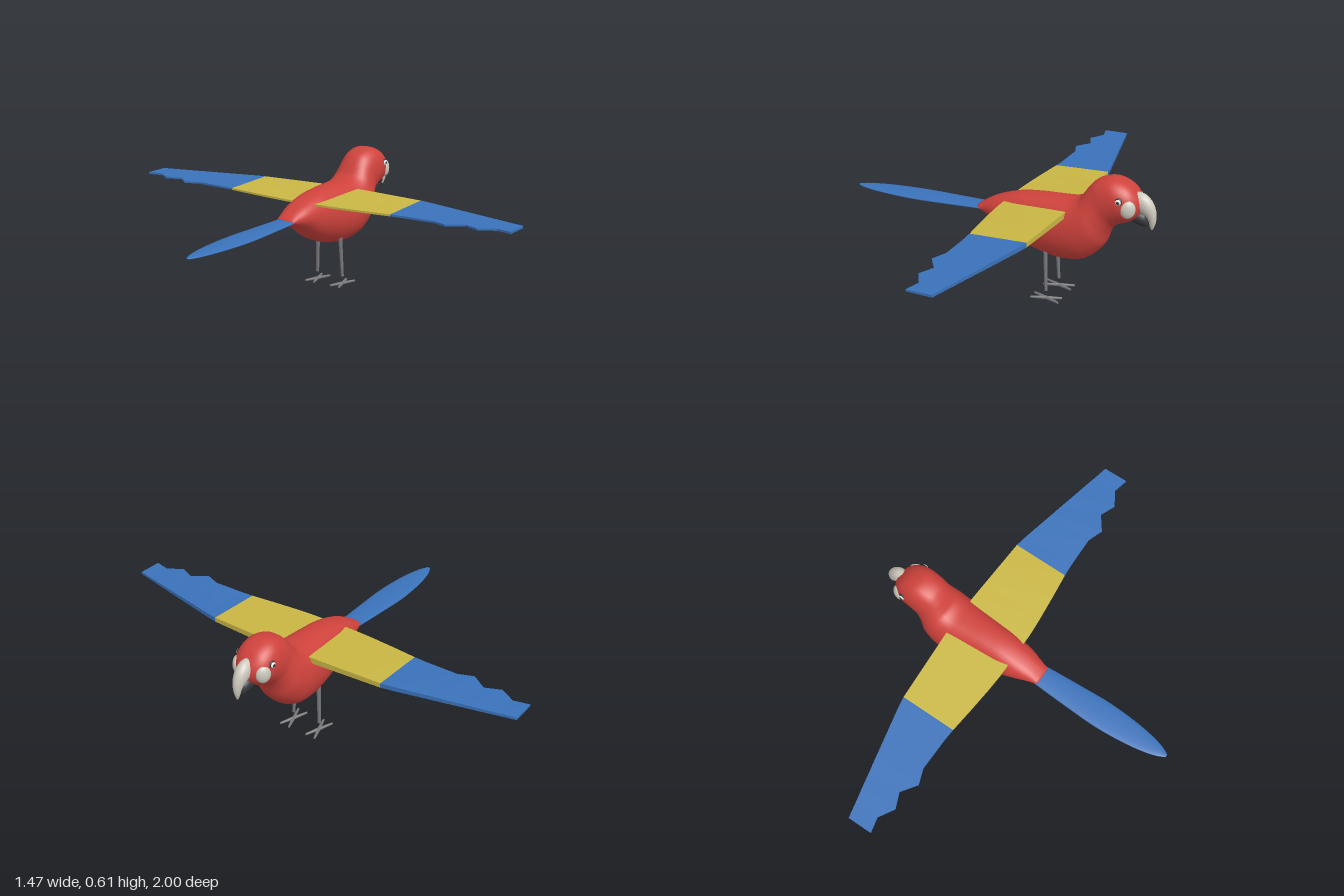
import * as THREE from 'three';

const mat = (name, color, side = THREE.FrontSide) => {
  const m = new THREE.MeshStandardMaterial({ color, side });
  m.name = name;
  return m;
};

// Smooth loft: each station is [topX, topY, bottomX, bottomY, halfWidth]; power < 1 fills out the upper half
function loft(stations, steps, sides, power = 1) {
  const curve = (f) => new THREE.CatmullRomCurve3(stations.map(f), false, 'centripetal');
  const top = curve((s) => new THREE.Vector3(s[0], s[1], s[4]));
  const bottom = curve((s) => new THREE.Vector3(s[2], s[3], s[4]));
  const pos = [], index = [];
  const add = (t, radius) => {
    const a = top.getPoint(t), b = bottom.getPoint(t);
    const w = Math.max(0, (a.z + b.z) / 2);
    for (let j = 0; j < sides; j++) {
      const ang = (j / sides) * Math.PI * 2, c = Math.cos(ang) * radius, s = Math.sin(ang);
      const z = c > 0 ? Math.sign(s) * Math.abs(s) ** power : s;
      pos.push((a.x + b.x) / 2 + (c * (a.x - b.x)) / 2, (a.y + b.y) / 2 + (c * (a.y - b.y)) / 2, z * w * radius);
    }
  };
  add(0, 0.001);
  for (let i = 0; i <= steps; i++) add(i / steps, 1);
  add(1, 0.001);
  for (let i = 0; i < steps + 2; i++) {
    for (let j = 0; j < sides; j++) {
      const k = (j + 1) % sides, p = i * sides, q = p + sides;
      index.push(p + j, p + k, q + j, p + k, q + k, q + j);
    }
  }
  const g = new THREE.BufferGeometry();
  g.setAttribute('position', new THREE.Float32BufferAttribute(pos, 3));
  g.setIndex(index);
  g.computeVertexNormals();
  return g;
}

// Flat-faced wing panel: each station is [z, frontX, rearX]
function wingPanel(stations, side) {
  const pos = [], index = [];
  for (const [z, front, rear] of stations) {
    const t = THREE.MathUtils.lerp(0.449, 0.437, z);
    const b = THREE.MathUtils.lerp(0.42, 0.426, z);
    for (const [x, y] of [[front, t], [rear, b + 0.009], [rear, b], [front, b]]) pos.push(x, y, z * side);
  }
  const tri = (a, b, c) => (side > 0 ? index.push(a, b, c) : index.push(a, c, b));
  const quad = (a, b, c, d) => { tri(a, b, c); tri(a, c, d); };
  for (let i = 0; i < stations.length - 1; i++) {
    for (let j = 0; j < 4; j++) {
      const k = (j + 1) % 4, p = i * 4;
      quad(p + j, p + k, p + 4 + k, p + 4 + j);
    }
  }
  const e = (stations.length - 1) * 4;
  quad(3, 2, 1, 0);
  quad(e, e + 1, e + 2, e + 3);
  const indexed = new THREE.BufferGeometry();
  indexed.setAttribute('position', new THREE.Float32BufferAttribute(pos, 3));
  indexed.setIndex(index);
  const g = indexed.toNonIndexed();
  g.computeVertexNormals();
  return g;
}

// Tapered rod between two points
function rod(a, b, r0, r1) {
  const from = new THREE.Vector3(...a), to = new THREE.Vector3(...b);
  const dir = to.clone().sub(from);
  const g = new THREE.CylinderGeometry(r1, r0, dir.length(), 12);
  g.applyQuaternion(new THREE.Quaternion().setFromUnitVectors(new THREE.Vector3(0, 1, 0), dir.clone().normalize()));
  const mid = from.add(to).multiplyScalar(0.5);
  return g.translate(mid.x, mid.y, mid.z);
}

export function createModel() {
  const red = mat('red plumage', 0xcf423c);
  const yellow = mat('yellow feathers', 0xc9b644);
  const blue = mat('blue feathers', 0x3a72ba);
  const bone = mat('pale beak', 0xcdc8bd);
  const white = mat('white eye', 0xe4e4e0);
  const dark = mat('dark grey', 0x33363a);
  const grey = mat('grey legs', 0x77777a);

  const bird = new THREE.Group();
  bird.name = 'bird';
  const add = (name, geometry, material, parent = bird) => {
    const m = new THREE.Mesh(geometry, material);
    m.name = name;
    parent.add(m);
    return m;
  };
  const ball = (name, material, p, r) => {
    const m = add(name, new THREE.SphereGeometry(1, 24, 16), material);
    m.position.set(...p);
    m.scale.set(...r);
    return m;
  };

  // Body and head in one skin, from rump to forehead
  add('bodyAndHead', loft([
    [-0.095, 0.376, -0.09, 0.355, 0.045],
    [-0.05, 0.405, -0.05, 0.335, 0.057],
    [0, 0.43, 0, 0.313, 0.074],
    [0.1, 0.462, 0.08, 0.257, 0.093],
    [0.2, 0.475, 0.2, 0.212, 0.106],
    [0.3, 0.48, 0.33, 0.195, 0.119],
    [0.36, 0.485, 0.43, 0.217, 0.124],
    [0.395, 0.5, 0.508, 0.29, 0.118],
    [0.415, 0.525, 0.535, 0.36, 0.104],
    [0.435, 0.555, 0.56, 0.395, 0.095],
    [0.47, 0.59, 0.595, 0.412, 0.094],
    [0.54, 0.612, 0.63, 0.428, 0.092],
    [0.61, 0.593, 0.655, 0.45, 0.076],
    [0.652, 0.555, 0.67, 0.48, 0.045],
    [0.672, 0.522, 0.675, 0.51, 0.01],
  ], 70, 40, 0.78), red);

  // Long tail, tip to root
  add('tail', loft([
    [-0.74, 0.351, -0.74, 0.344, 0.008],
    [-0.7, 0.354, -0.7, 0.343, 0.027],
    [-0.6, 0.358, -0.6, 0.345, 0.05],
    [-0.42, 0.364, -0.42, 0.347, 0.065],
    [-0.25, 0.369, -0.25, 0.352, 0.059],
    [-0.06, 0.376, -0.06, 0.357, 0.048],
  ], 30, 20), blue);

  // Hooked upper beak and dark lower beak
  add('upperBeak', loft([
    [0.645, 0.562, 0.645, 0.475, 0.03],
    [0.682, 0.554, 0.672, 0.468, 0.031],
    [0.715, 0.523, 0.69, 0.457, 0.027],
    [0.733, 0.477, 0.702, 0.437, 0.019],
    [0.733, 0.435, 0.707, 0.417, 0.012],
    [0.722, 0.402, 0.714, 0.4, 0.003],
  ], 28, 20), bone);
  add('lowerBeak', loft([
    [0.62, 0.475, 0.632, 0.425, 0.026],
    [0.655, 0.476, 0.655, 0.415, 0.027],
    [0.685, 0.465, 0.68, 0.41, 0.022],
    [0.7, 0.435, 0.697, 0.412, 0.012],
  ], 12, 18), dark);

  const yellowStations = [[0.04, 0.36, 0.05], [0.12, 0.357, 0.051], [0.2, 0.353, 0.056], [0.32, 0.347, 0.067], [0.44, 0.341, 0.08]];
  const blueStations = [[0.44, 0.341, 0.08], [0.5, 0.33, 0.084], [0.65, 0.297, 0.086], [0.72, 0.282, 0.06],
    [0.79, 0.266, 0.11], [0.86, 0.251, 0.08], [0.93, 0.235, 0.122], [1, 0.22, 0.106]];

  for (const side of [1, -1]) {
    const label = side > 0 ? 'Left' : 'Right';

    // Spread wing with notched outer feathers
    add('innerWing' + label, wingPanel(yellowStations, side), yellow);
    add('outerWing' + label, wingPanel(blueStations, side), blue);

    // Bare cheek patch and eye
    const cheek = ball('cheek' + label, bone, [0.63, 0.5, side * 0.067], [0.033, 0.04, 0.021]);
    cheek.rotation.y = side * 0.5;
    ball('eyeRim' + label, dark, [0.592, 0.534, side * 0.083], [0.018, 0.018, 0.01]);
    ball('eye' + label, white, [0.593, 0.534, side * 0.086], [0.014, 0.014, 0.011]);
    ball('pupil' + label, dark, [0.594, 0.534, side * 0.092], [0.008, 0.008, 0.007]);

    // Leg and four crossed toes
    add('leg' + label, rod([0.265, 0.042, side * 0.071], [0.254, 0.26, side * 0.062], 0.007, 0.01), grey);
    const foot = new THREE.Group();
    foot.name = 'foot' + label;
    foot.position.set(0.267, 0.008, side * 0.071);
    bird.add(foot);
    for (const dx of [1, -1]) {
      for (const dz of [1, -1]) {
        add('toe', rod([0, 0, 0], [dx * 0.067, 0, dz * 0.024], 0.008, 0.005), grey, foot);
      }
    }
  }
  return bird;
}
